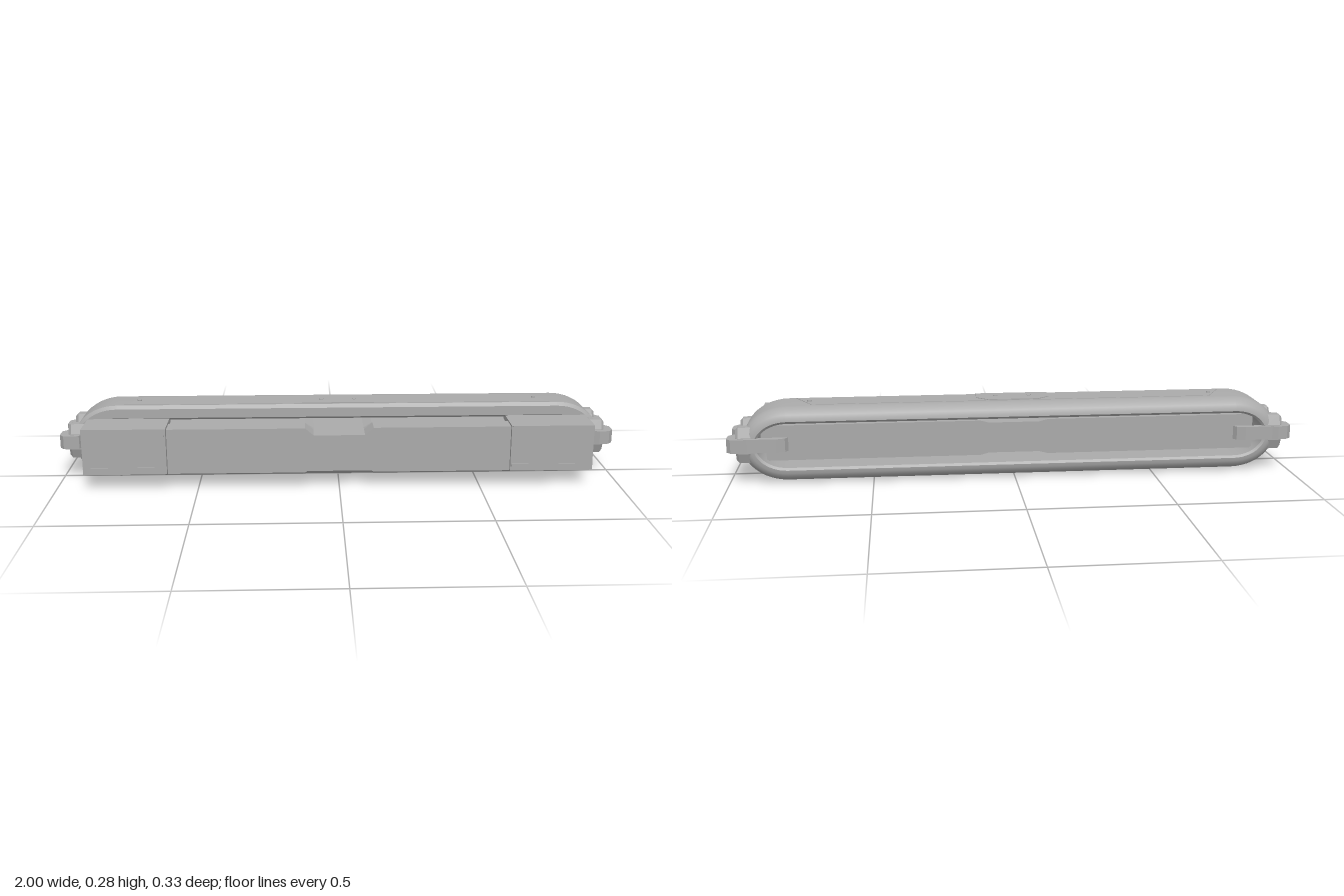
import * as THREE from 'three';
import { toCreasedNormals } from 'three/addons/utils/BufferGeometryUtils.js';

const CY = 0.14; // mid height

export function createModel() {
  const group = new THREE.Group();
  const grey = new THREE.MeshStandardMaterial({ color: 0xaaaaaa });
  grey.name = 'matteGrey';

  const add = (name, geometry) => {
    const mesh = new THREE.Mesh(geometry, grey);
    mesh.name = name;
    group.add(mesh);
    return mesh;
  };
  const box = (name, x0, x1, y0, y1, z0, z1) =>
    add(name, new THREE.BoxGeometry(x1 - x0, y1 - y0, z1 - z0))
      .position.set((x0 + x1) / 2, (y0 + y1) / 2, (z0 + z1) / 2);
  const extrude = (pts, depth, bevel = 0) =>
    new THREE.ExtrudeGeometry(new THREE.Shape(pts.map(([x, y]) => new THREE.Vector2(x, y))), {
      depth, bevelEnabled: bevel > 0, bevelThickness: bevel, bevelSize: bevel,
      bevelOffset: -bevel, bevelSegments: 1,
    });

  // Outer frame: a wall profile swept round a long oval
  add('outerFrame', frameGeometry()).position.y = CY;

  // Core and front cover, each with a sloped notch at top and bottom centre
  const notched = (halfX, halfY, floor, z0, z1) => {
    const edge = [[-halfX, halfY], [-0.12, halfY], [-0.09, floor], [0.09, floor], [0.12, halfY], [halfX, halfY]];
    const under = edge.map(([x, y]) => [x, -y]).reverse();
    return extrude([...edge, ...under], z1 - z0).translate(0, CY + 0.002, z0);
  };
  add('core', notched(0.87, 0.063, 0.055, -0.11, 0.07));
  add('coverStep', notched(0.604, 0.074, 0.055, 0.07, 0.094));
  add('frontCover', notched(0.604, 0.081, 0.055, 0.094, 0.165));

  for (const s of [-1, 1]) {
    const side = s > 0 ? 'left' : 'right';
    const span = (a, b) => (s > 0 ? [a, b] : [-b, -a]);

    // End block with raised rim strips next to the seam
    box(side + 'EndBlock', ...span(0.607, 0.9), 0.06, 0.225, 0, 0.165);
    for (const [y0, y1] of [[0.06, 0.085], [0.195, 0.225]]) {
      box(side + 'EndBlockRim', ...span(0.612, 0.9), y0, y1, 0.16, 0.167);
    }

    // Two eight-sided clasp collars
    for (const z of [0.016, -0.121]) {
      const a = 0.029, b = 0.063, c = 0.015, d = 0.028;
      const oct = [[a, -d], [a, d], [c, b], [-c, b], [-a, d], [-a, -d], [-c, -b], [c, -b]];
      const g = extrude(oct, 0.05, 0.01).rotateY(Math.PI / 2);
      g.translate(s > 0 ? 0.91 : -0.96, CY + 0.004, z);
      add(side + 'ClaspCollar', g);
    }

    // Clasp bar with two lobes, hooked round the back of the frame
    const outline = [
      [0.79, -0.14], [0.8, -0.155], [0.83, -0.165], [0.93, -0.16], [0.95, -0.167], [0.985, -0.16],
      [1, -0.145], [1, -0.1], [0.975, -0.075], [0.975, -0.03], [1, -0.005], [1, 0.04],
      [0.985, 0.058], [0.95, 0.063], [0.93, 0.055], [0.92, 0.03], [0.92, -0.13], [0.9, -0.14],
    ];
    const bar = extrude(outline.map(([x, z]) => [s * x, -z]), 0.048).rotateX(-Math.PI / 2);
    add(side + 'ClaspBar', bar.translate(0, 0.122, 0));
  }

  // Thin panels and rivets on the top and bottom faces
  const longPanel = [[-0.77, -0.015], [-0.71, 0.09], [0.71, 0.09], [0.77, -0.015]];
  const centrePlate = [[-0.13, -0.015], [-0.13, 0.05], [-0.09, 0.085], [0.09, 0.085], [0.13, 0.05], [0.13, -0.015]];
  for (const up of [1, -1]) {
    const prefix = up > 0 ? 'top' : 'bottom';
    const plate = (name, pts, height) => {
      const g = extrude(pts, 0.006).rotateX(-Math.PI / 2);
      g.translate(0, up > 0 ? CY + height - 0.006 : CY - height, 0);
      add(prefix + name, g);
    };
    plate('Panel', longPanel, 0.1335);
    plate('CentrePlate', centrePlate, 0.136);
    for (const [x, z] of [[-0.06, -0.03], [0.06, -0.03], [-0.72, -0.04], [0.72, -0.04]]) {
      add(prefix + 'Rivet', new THREE.CylinderGeometry(0.008, 0.008, 0.01, 8))
        .position.set(x, CY + up * 0.133, z);
    }
  }
  return group;
}

// Sweeps the frame wall round an oval with straight long sides
function frameGeometry() {
  const half = 0.795, a = 0.16, b = 0.132, steps = 24;

  // Wall profile: [inset from the outer edge, z], front to back and round the inside
  const profile = [[0.012, 0.031], [0, 0.021], [0, -0.1]];
  for (let k = 1; k <= 6; k++) {
    const t = (k / 6) * Math.PI / 2;
    profile.push([0.045 * (1 - Math.cos(t)), -0.1 - 0.052 * Math.sin(t)]);
  }
  profile.push([0.053, -0.145], [0.053, 0.022], [0.045, 0.031]);

  const rows = [];
  for (const s of [1, -1]) {
    for (let i = 0; i <= steps; i++) {
      const t = -Math.PI / 2 + (i / steps) * Math.PI;
      const nx = Math.cos(t) / a, ny = Math.sin(t) / b, len = Math.hypot(nx, ny);
      rows.push(profile.map(([d, z]) => [
        s * (half + a * Math.cos(t) - d * nx / len),
        s * (b * Math.sin(t) - d * ny / len),
        z,
      ]));
    }
  }

  const pos = [];
  const n = rows.length, m = profile.length;
  for (let i = 0; i < n; i++) {
    for (let j = 0; j < m; j++) {
      const p = rows[i][j], q = rows[i][(j + 1) % m];
      const r = rows[(i + 1) % n][(j + 1) % m], u = rows[(i + 1) % n][j];
      pos.push(...p, ...q, ...r, ...p, ...r, ...u);
    }
  }
  const g = new THREE.BufferGeometry();
  g.setAttribute('position', new THREE.Float32BufferAttribute(pos, 3));
  return toCreasedNormals(g, 0.6);
}
